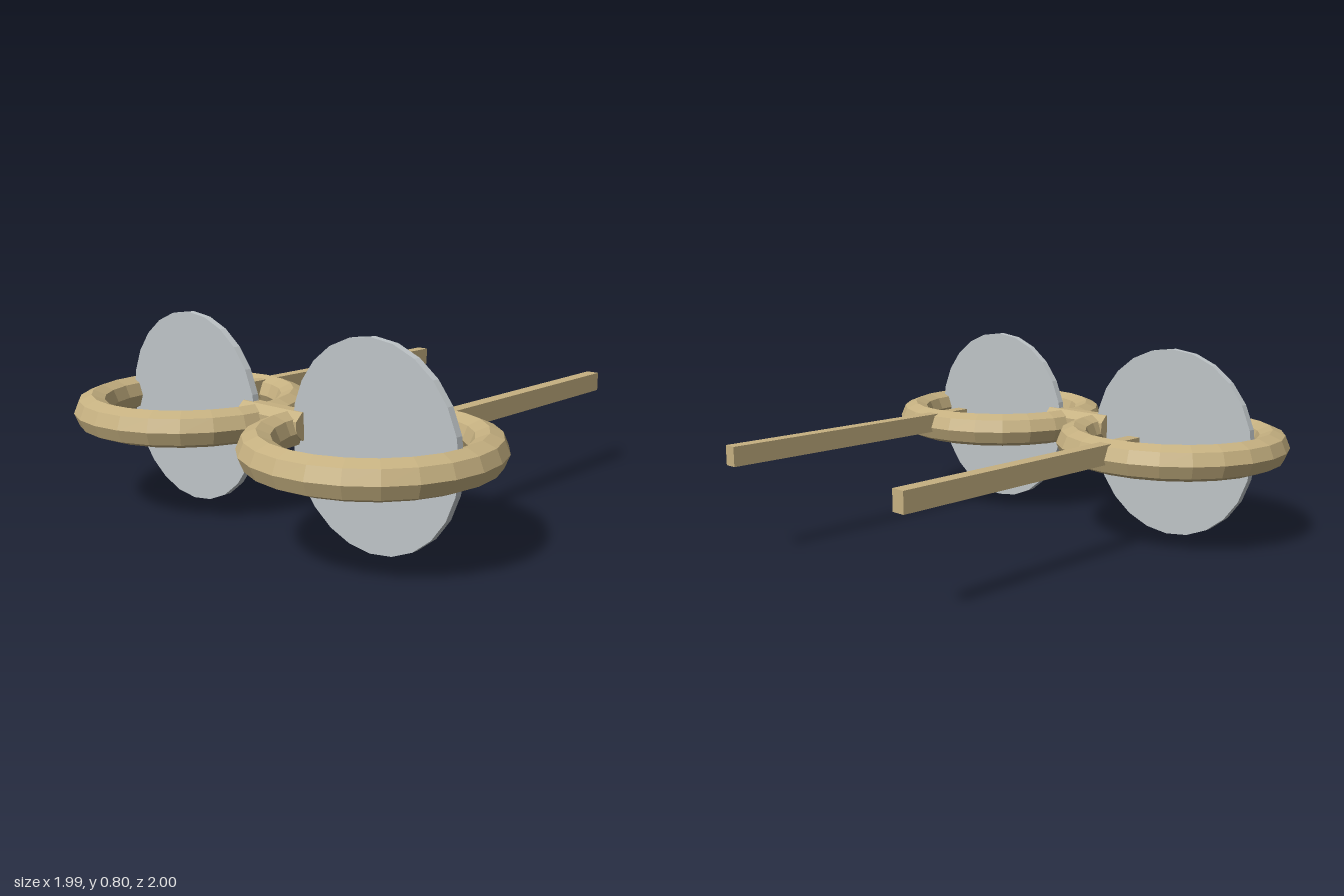
import * as THREE from 'three';

export function createModel() {
  const model = new THREE.Group();
  model.name = 'eyeglasses';

  const gold = new THREE.MeshStandardMaterial({ color: 0xc6b181, flatShading: true });
  gold.name = 'gold metal';
  const glass = new THREE.MeshStandardMaterial({ color: 0xbfc5c8, flatShading: true });
  glass.name = 'grey glass';

  const add = (name, geometry, material, x, y, z) => {
    const mesh = new THREE.Mesh(geometry, material);
    mesh.name = name;
    mesh.position.set(x, y, z);
    model.add(mesh);
  };

  const centreX = 0.504, centreY = 0.4, centreZ = 0.511;

  // Lying rim rings and upright lens discs share their centres
  const rim = new THREE.TorusGeometry(0.416, 0.073, 8, 24).rotateX(Math.PI / 2);
  const lens = new THREE.CylinderGeometry(0.398, 0.398, 0.03, 24).rotateX(Math.PI / 2);
  // Straight temple arms running backwards
  const arm = new THREE.BoxGeometry(0.055, 0.08, 1.25);

  for (const [side, s] of [['left', 1], ['right', -1]]) {
    add(side + 'Rim', rim, gold, s * centreX, centreY, centreZ);
    add(side + 'Lens', lens, glass, s * centreX, centreY, centreZ);
    add(side + 'Arm', arm, gold, s * centreX, 0.421, -0.375);
  }

  // Octagonal nose bridge with a flat side up
  const bridge = new THREE.CylinderGeometry(0.059, 0.059, 0.335, 8)
    .rotateY(Math.PI / 8)
    .rotateZ(Math.PI / 2);
  add('bridge', bridge, gold, 0, 0.423, centreZ);

  return model;
}
